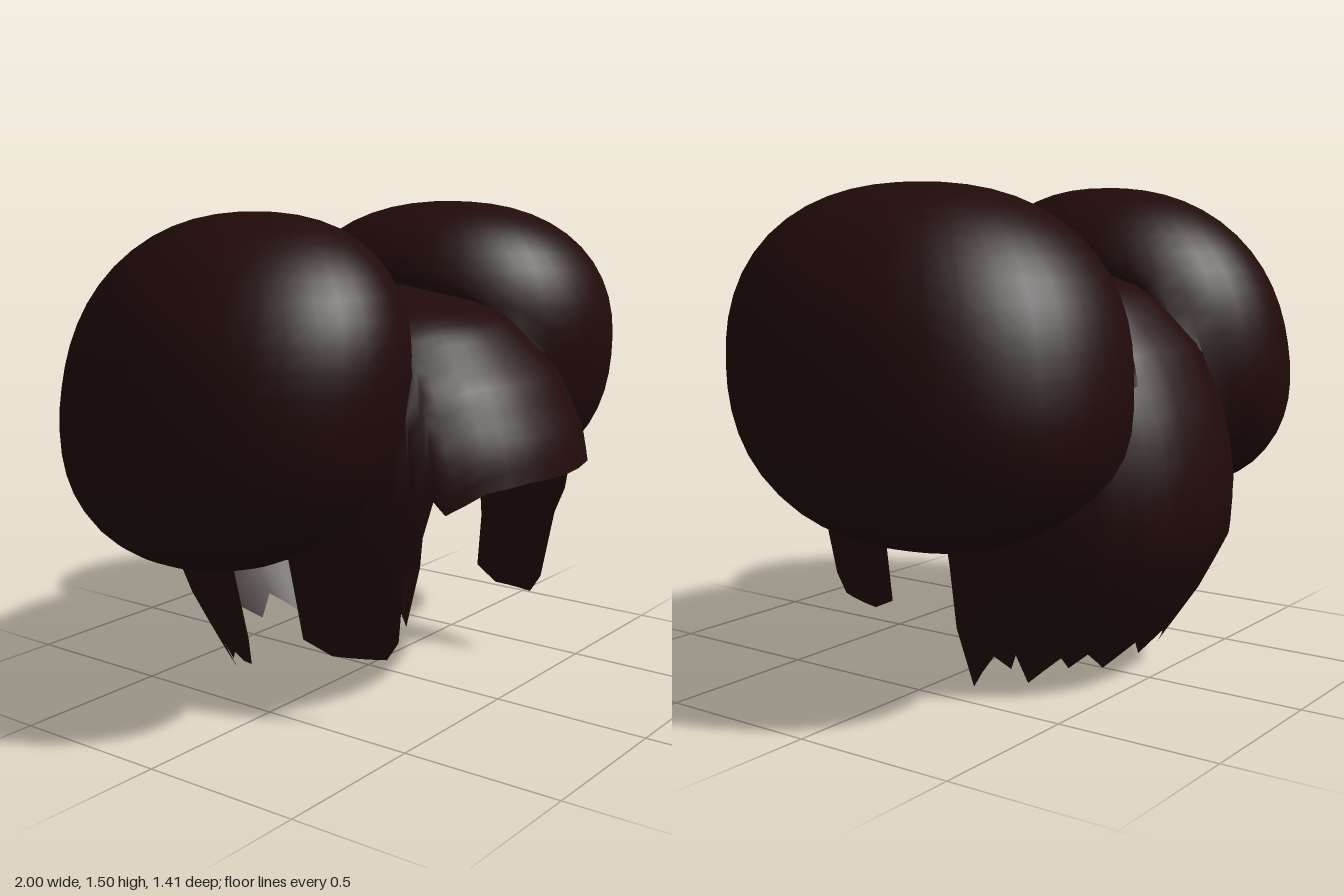
import * as THREE from 'three';

const hairColor = new THREE.MeshStandardMaterial({ color: 0x210a0a, side: THREE.DoubleSide });
hairColor.name = 'dark brown hair';

const N = 2.35; // roundness exponent: slightly squarer than an ellipse
const soft = (v) => Math.sign(v) * Math.pow(Math.abs(v), 2 / N);

// Cap sections: height, half width, front depth, back depth
const sections = [
  [1.255, 0, 0, 0], [1.25, 0.1, 0.12, -0.2], [1.2, 0.27, 0.36, -0.36], [1.16, 0.34, 0.45, -0.43],
  [1.0, 0.465, 0.61, -0.58], [0.84, 0.51, 0.69, -0.65], [0.74, 0.52, 0.71, -0.68],
  [0.6, 0.53, 0.69, -0.7], [0.44, 0.52, 0.66, -0.69], [0.27, 0.49, 0.63, -0.6],
  [0.1, 0.435, 0.6, -0.48], [0, 0.39, 0.58, -0.41],
];

// Hem: angle from the front in degrees, height (fringe, sideburn, ear gap, ragged back)
const hem = [
  [0, 0.74], [15, 0.745], [30, 0.73], [42, 0.67], [46, 0.71], [48, 0.59], [52, 0.5], [53, 0.28], [57, 0.22],
  [74, 0.21], [82, 0.25], [83, 0.42], [84, 0.5], [97, 0.5], [98, 0.4], [99, 0.2], [103, 0],
  [112, 0.12], [119, 0.08], [120, 0.13], [127, 0.03], [138, 0.12], [143, 0.08], [149, 0.125],
  [161, 0.06], [172, 0.13], [180, 0.07],
];

function sectionAt(y) {
  let i = 0;
  while (i < sections.length - 2 && sections[i + 1][0] > y) i++;
  const a = sections[i], b = sections[i + 1];
  const t = THREE.MathUtils.clamp((a[0] - y) / (a[0] - b[0]), 0, 1);
  return a.map((v, k) => v + (b[k] - v) * t);
}

function makeCap() {
  // Columns at every hem point, with extra ones across wide gaps
  const half = [];
  for (let i = 0; i < hem.length - 1; i++) {
    const [a, ya] = hem[i], [b, yb] = hem[i + 1];
    const steps = Math.ceil((b - a) / 8);
    for (let s = 0; s < steps; s++) half.push([a + (b - a) * s / steps, ya + (yb - ya) * s / steps]);
  }
  half.push(hem[hem.length - 1]);
  // The long lock behind the ear is cut shorter on the right side
  const mirrored = half.slice(1, -1).reverse()
    .map(([a, y]) => [-a, a > 98.5 && a < 115 ? Math.max(y, 0.1) : y]);
  const columns = [...half, ...mirrored];

  const rows = 20, top = sections[0][0], n = columns.length;
  const positions = [], index = [];
  for (let r = 0; r <= rows; r++) {
    for (const [deg, bottom] of columns) {
      const y = top - (top - bottom) * Math.pow(r / rows, 1.7);
      const [, w, front, back] = sectionAt(y);
      const a = THREE.MathUtils.degToRad(deg), c = soft(Math.cos(a));
      positions.push(w * soft(Math.sin(a)), y, c > 0 ? front * c : -back * c);
    }
  }
  for (let r = 0; r < rows; r++) {
    for (let c = 0; c < n; c++) {
      const d = (c + 1) % n;
      const p = r * n + c, q = r * n + d, s = p + n, t = q + n;
      if (r > 0) index.push(p, s, q);
      index.push(q, s, t);
    }
  }
  const geometry = new THREE.BufferGeometry();
  geometry.setAttribute('position', new THREE.Float32BufferAttribute(positions, 3));
  geometry.setIndex(index);
  geometry.computeVertexNormals();
  return geometry;
}

// Below 1 when a point lies inside the cap
function capDistance(x, y, z) {
  const [, w, front, back] = sectionAt(y);
  if (y >= sections[1][0]) return 2;
  const depth = z > 0 ? front : -back;
  return Math.pow(Math.abs(x / w) ** N + Math.abs(z / depth) ** N, 1 / N);
}

// Puffy bun leaning inward at the top, open where it meets the cap;
// plan is the roundness seen from above, higher being squarer
function makeBun(side, plan) {
  const rise = 2.28;
  const geometry = new THREE.SphereGeometry(1, 36, 26);
  const p = geometry.attributes.position;
  const v = new THREE.Vector3();
  const inside = [];
  for (let i = 0; i < p.count; i++) {
    v.fromBufferAttribute(p, i);
    const flat = Math.pow(Math.abs(v.x) ** plan + Math.abs(v.z) ** plan, 1 / plan);
    v.divideScalar(Math.pow(flat ** rise + Math.abs(v.y) ** rise, 1 / rise));
    const y = 0.985 + v.y * 0.51;
    let z = v.z * 0.575 + v.y * 0.065;
    let x = 0.553 + v.x * 0.44 - v.y * 0.06 + z * 0.08;
    z -= 0.085;
    // Points inside the cap slide out onto its surface
    const d = capDistance(x, y, z);
    inside.push(d < 1);
    if (d < 1 && d > 0.01) {
      x /= d;
      z /= d;
    }
    p.setXYZ(i, side * x, y, z);
  }
  const faces = [];
  const old = geometry.index.array;
  for (let i = 0; i < old.length; i += 3) {
    const [a, b, c] = [old[i], old[i + 1], old[i + 2]];
    if (inside[a] && inside[b] && inside[c]) continue;
    // Mirroring flips the faces, so turn them back
    if (side > 0) faces.push(a, b, c);
    else faces.push(a, c, b);
  }
  geometry.setIndex(faces);
  geometry.computeVertexNormals();
  return geometry;
}

export function createModel() {
  const group = new THREE.Group();
  group.name = 'hair with two buns';
  const add = (name, geometry) => {
    const mesh = new THREE.Mesh(geometry, hairColor);
    mesh.name = name;
    group.add(mesh);
  };
  add('hairCap', makeCap());
  add('leftBun', makeBun(1, 2.3));
  add('rightBun', makeBun(-1, 2));
  return group;
}
